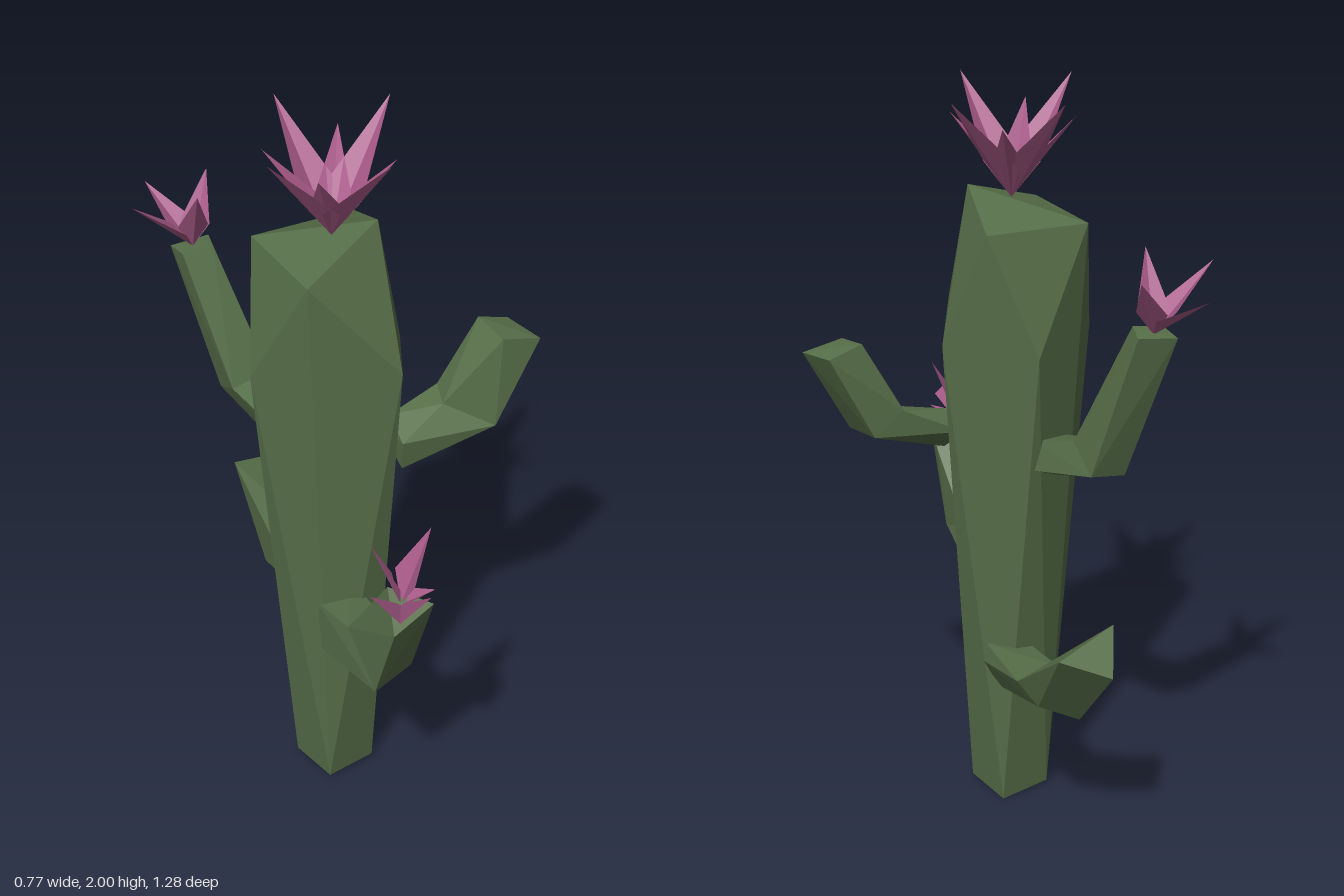
import * as THREE from 'three';
import { ConvexGeometry } from 'three/addons/geometries/ConvexGeometry.js';

const green = new THREE.MeshStandardMaterial({ color: 0x576f49, flatShading: true });
green.name = 'cactus green';
const pink = new THREE.MeshStandardMaterial({ color: 0xa85a88, flatShading: true, side: THREE.DoubleSide });
pink.name = 'petal pink';

const v = (p) => new THREE.Vector3(...p);

// Faceted solid wrapped around a few rings of corners
function hull(points, name) {
  const mesh = new THREE.Mesh(new ConvexGeometry(points.map(v)), green);
  mesh.name = name;
  return mesh;
}

// Bent arm: one faceted segment between each pair of rings
function arm(name, rings) {
  const group = new THREE.Group();
  group.name = name;
  for (let i = 0; i < rings.length - 1; i++) {
    group.add(hull([...rings[i], ...rings[i + 1]], i === 0 ? 'armRoot' : 'armTip'));
  }
  return group;
}

// Flower of creased kite-shaped petals, each given as [tip, half width]
function flower(name, base, petals, shoulder) {
  const b = v(base);
  const pos = [];
  for (const [tipPoint, w] of petals) {
    const tip = v(tipPoint);
    const d = tip.clone().sub(b).normalize();
    const side = new THREE.Vector3(0, 1, 0).cross(d).normalize();
    const inward = d.clone().cross(side);
    const mid = b.clone().lerp(tip, shoulder).addScaledVector(inward, w * 0.45);
    const l = mid.clone().addScaledVector(side, w);
    const r = mid.clone().addScaledVector(side, -w);
    for (const p of [b, tip, l, b, r, tip]) pos.push(p.x, p.y, p.z);
  }
  const geo = new THREE.BufferGeometry();
  geo.setAttribute('position', new THREE.Float32BufferAttribute(pos, 3));
  geo.computeVertexNormals();
  const mesh = new THREE.Mesh(geo, pink);
  mesh.name = name;
  return mesh;
}

export function createModel() {
  const model = new THREE.Group();
  model.name = 'cactus';

  // Trunk: square foot, wide turned shoulder, slanted crown
  model.add(hull([
    [-0.19, 0.015, 0.11], [-0.04, 0.01, 0.11], [-0.04, 0, -0.04], [-0.19, 0.01, -0.04],
    [-0.32, 1.35, -0.03], [-0.065, 1.4, 0.255], [0.095, 1.35, 0.05], [-0.05, 1.35, -0.175],
    [-0.27, 1.67, 0.145], [-0.02, 1.75, 0.1], [0.05, 1.67, -0.085], [-0.225, 1.67, -0.14],
  ], 'trunk'));

  // Arms: root, elbow and tip rings
  model.add(arm('frontArm', [
    [[-0.235, 0.53, 0.14], [-0.09, 0.55, 0.14], [-0.1, 0.67, 0.1], [-0.22, 0.66, 0.1]],
    [[-0.305, 0.635, 0.45], [-0.17, 0.64, 0.43], [-0.145, 0.68, 0.3], [-0.25, 0.7, 0.27]],
    [[-0.315, 0.88, 0.535], [-0.185, 0.915, 0.53], [-0.16, 0.87, 0.46], [-0.26, 0.95, 0.44]],
  ]));
  model.add(arm('leftArm', [
    [[0.02, 1.02, 0.155], [0.03, 1.1, 0.045], [0.03, 1.15, 0.09], [0.01, 1.11, 0.17]],
    [[0.26, 1.1, 0.245], [0.26, 1.11, 0.12], [0.19, 1.18, 0.09], [0.155, 1.165, 0.155]],
    [[0.385, 1.33, 0.265], [0.375, 1.34, 0.148], [0.285, 1.37, 0.135], [0.28, 1.355, 0.24]],
  ]));
  model.add(arm('lowerBackArm', [
    [[-0.03, 0.36, -0.03], [0.02, 0.45, -0.03], [0.01, 0.5, -0.03], [-0.11, 0.48, -0.03]],
    [[-0.04, 0.41, -0.38], [0.05, 0.45, -0.32], [0.068, 0.5, -0.25], [-0.07, 0.5, -0.25]],
    [[-0.005, 0.62, -0.56], [0.11, 0.67, -0.485], [-0.07, 0.72, -0.475]],
  ]));
  model.add(arm('upperBackArm', [
    [[-0.15, 0.985, -0.1], [-0.06, 1.02, -0.1], [-0.08, 1.1, -0.1], [-0.19, 1.09, -0.1]],
    [[-0.17, 1.075, -0.38], [-0.07, 1.09, -0.37], [-0.09, 1.15, -0.27], [-0.2, 1.13, -0.28]],
    [[-0.22, 1.47, -0.51], [-0.12, 1.48, -0.48], [-0.15, 1.49, -0.42], [-0.23, 1.48, -0.44]],
  ]));

  // Crown flower: alternating tall and short petals
  model.add(flower('crownFlower', [-0.115, 1.715, 0.04], [
    [[-0.11, 2, -0.19], 0.06], [[0.11, 2, -0.015], 0.06],
    [[-0.115, 2, 0.27], 0.06], [[-0.34, 2, 0.09], 0.06],
    [[-0.23, 1.935, -0.08], 0.05], [[0, 1.93, -0.08], 0.05],
    [[0, 1.93, 0.15], 0.05], [[-0.23, 1.94, 0.14], 0.05],
  ], 0.27));

  // Arm flowers
  model.add(flower('frontFlower', [-0.25, 0.915, 0.48], [
    [[-0.385, 1.03, 0.64], 0.075], [[-0.325, 1.12, 0.45], 0.035],
    [[-0.165, 1.12, 0.49], 0.045], [[-0.19, 0.97, 0.54], 0.03],
  ], 0.35));
  model.add(flower('backFlower', [-0.18, 1.475, -0.465], [
    [[-0.35, 1.64, -0.48], 0.04], [[-0.205, 1.6, -0.64], 0.04],
    [[-0.08, 1.64, -0.535], 0.04], [[-0.22, 1.67, -0.375], 0.04],
  ], 0.3));

  return model;
}
